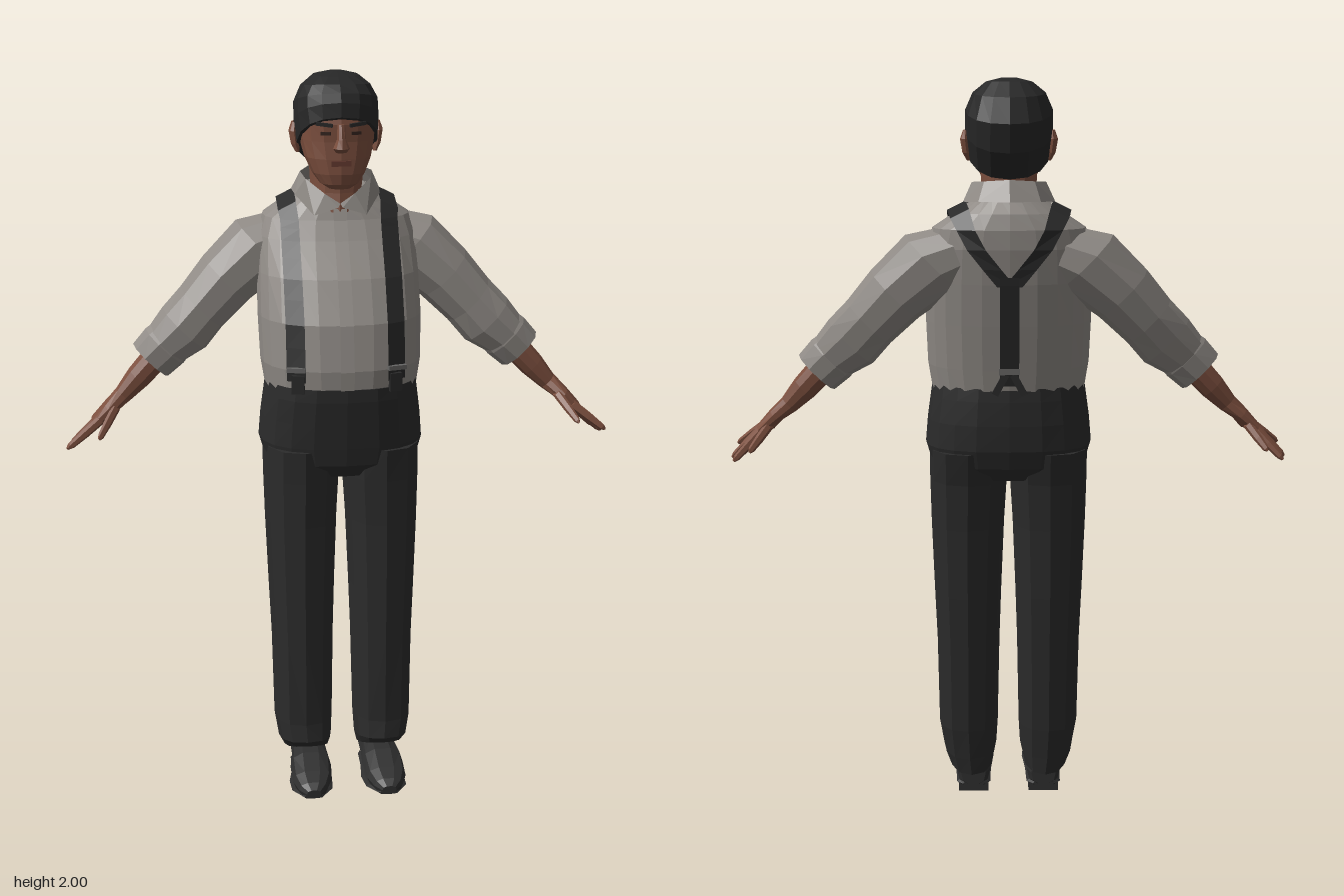
import * as THREE from 'three';

const mat = (name, color, side = THREE.FrontSide) => {
  const m = new THREE.MeshStandardMaterial({ color, side });
  m.name = name;
  return m;
};

// Faceted geometry from indexed points; solids are turned to face outward
function faceted(pos, idx, solid = true) {
  let volume = 0;
  const p = (i) => new THREE.Vector3().fromArray(pos, i * 3);
  for (let i = 0; i < idx.length; i += 3) volume += p(idx[i]).dot(p(idx[i + 1]).cross(p(idx[i + 2])));
  if (solid && volume < 0) idx.reverse();
  const g = new THREE.BufferGeometry();
  g.setAttribute('position', new THREE.Float32BufferAttribute(pos, 3));
  g.setIndex(idx);
  const flat = g.toNonIndexed();
  flat.computeVertexNormals();
  return flat;
}

// Capped loft through rings [x, y, z, radiusU, radiusV, tilt]
function loft(rings, { n = 14, p = 2.3, u = [1, 0, 0], v = [0, 0, 1] } = {}) {
  const pos = [], idx = [];
  const pw = (t) => Math.sign(t) * Math.abs(t) ** (2 / p);
  for (const [x, y, z, ru, rv, tilt = 0] of rings)
    for (let j = 0; j < n; j++) {
      const a = (j / n) * Math.PI * 2, c = pw(Math.cos(a)) * ru, s = pw(Math.sin(a));
      pos.push(x + u[0] * c + v[0] * s * rv, y + u[1] * c + v[1] * s * rv + tilt * s, z + u[2] * c + v[2] * s * rv);
    }
  const last = rings.length - 1;
  for (let i = 0; i < last; i++)
    for (let j = 0; j < n; j++) {
      const a = i * n + j, b = i * n + ((j + 1) % n);
      idx.push(a, b, b + n, a, b + n, a + n);
    }
  const c0 = pos.length / 3;
  pos.push(...rings[0].slice(0, 3), ...rings[last].slice(0, 3));
  for (let j = 0; j < n; j++) {
    const k = (j + 1) % n;
    idx.push(c0, k, j, c0 + 1, last * n + j, last * n + k);
  }
  return faceted(pos, idx);
}

// Horizontal body rings given as [y, halfWidth, zFront, zBack, tilt]
const body = (rows, opts) =>
  loft(rows.map(([y, rx, f, b, t]) => [0, y, (f + b) / 2, rx, (f - b) / 2, t]), opts);

// Open ribbon between two edges
function ribbon(a, b) {
  const pos = [...a, ...b].flat(), idx = [], n = a.length;
  for (let i = 0; i < n - 1; i++) idx.push(i, i + n, i + 1, i + 1, i + n, i + n + 1);
  return faceted(pos, idx, false);
}

function mirrored(g) {
  const m = g.clone(), p = m.attributes.position;
  for (let i = 0; i < p.count; i += 3) {
    const t = [0, 2, 1].map((k) => [-p.getX(i + k), p.getY(i + k), p.getZ(i + k)]);
    t.forEach((q, k) => p.setXYZ(i + k, ...q));
  }
  m.computeVertexNormals();
  return m;
}

const TORSO = [
  [1.185, 0.208, 0.152, -0.208], [1.25, 0.218, 0.155, -0.22], [1.37, 0.222, 0.132, -0.243],
  [1.48, 0.22, 0.075, -0.262], [1.57, 0.215, 0.01, -0.273], [1.62, 0.2, -0.02, -0.273],
  [1.66, 0.14, -0.035, -0.262], [1.7, 0.08, -0.05, -0.235],
];
const TORSO_P = 2.4;

// Point just above the shirt at x, y on the front (+1) or back (-1)
function onShirt(x, y, side, lift = 0.006) {
  let i = 0;
  while (i < TORSO.length - 2 && TORSO[i + 1][0] < y) i++;
  const A = TORSO[i], B = TORSO[i + 1], t = (y - A[0]) / (B[0] - A[0]);
  const [rx, f, b] = [1, 2, 3].map((k) => A[k] + (B[k] - A[k]) * t);
  const s = Math.max(0, 1 - Math.abs(x / rx) ** TORSO_P) ** (1 / TORSO_P);
  return [x, y, (f + b) / 2 + side * (((f - b) / 2) * s + lift)];
}

export function createModel() {
  const model = new THREE.Group();
  model.name = 'man';
  const skin = mat('skin', 0x7c4f3e), shirt = mat('shirt grey', 0x8f8a85, THREE.DoubleSide);
  const cloth = mat('trouser black', 0x2b2b2b), hair = mat('hair black', 0x272727);
  const strap = mat('strap black', 0x292929, THREE.DoubleSide), leather = mat('shoe black', 0x2f2f2f);
  const metal = mat('clip grey', 0x666564), lip = mat('lip brown', 0x653a30), dark = mat('eye dark', 0x33231e);

  const add = (name, geo, m) => {
    const mesh = new THREE.Mesh(geo, m);
    mesh.name = name;
    model.add(mesh);
  };
  const pair = (name, geo, m) => {
    add('left' + name, geo, m);
    add('right' + name, mirrored(geo), m);
  };
  const box = (w, h, d, x, y, z, ry = 0, rz = 0) =>
    new THREE.BoxGeometry(w, h, d).toNonIndexed().rotateZ(rz).rotateY(ry).translate(x, y, z);

  // Shirt body, placket and collar
  add('shirtBody', body(TORSO, { n: 24, p: TORSO_P }), shirt);
  const placketY = [1.2, 1.25, 1.37, 1.48, 1.57, 1.62, 1.65];
  add('placket', ribbon(placketY.map((y) => onShirt(-0.018, y, 1)), placketY.map((y) => onShirt(0.018, y, 1))), shirt);
  pair('Collar', ribbon(
    [[0, 1.665, -0.02], [0.04, 1.69, -0.03], [0.088, 1.725, -0.07], [0.097, 1.735, -0.13], [0.065, 1.74, -0.2], [0, 1.745, -0.225]],
    [[0.006, 1.655, -0.014], [0.07, 1.635, -0.016], [0.115, 1.68, -0.09], [0.12, 1.685, -0.15], [0.08, 1.69, -0.23], [0, 1.69, -0.258]],
  ), shirt);

  // Sleeves, rolled cuffs, forearms and hands
  const limb = { n: 10, p: 2.1, u: [0.707, 0.707, 0], v: [0, 0, 1] };
  pair('Sleeve', loft([
    [0.12, 1.56, -0.165, 0.085, 0.085], [0.2, 1.53, -0.16, 0.1, 0.1], [0.3, 1.445, -0.145, 0.088, 0.095],
    [0.37, 1.37, -0.13, 0.08, 0.085], [0.42, 1.315, -0.115, 0.082, 0.075], [0.49, 1.255, -0.1, 0.062, 0.055],
  ], limb), shirt);
  pair('Cuff', loft([
    [0.46, 1.282, -0.105, 0.068, 0.058], [0.475, 1.268, -0.103, 0.071, 0.06], [0.514, 1.23, -0.1, 0.066, 0.052],
  ], limb), shirt);
  pair('Forearm', loft([
    [0.47, 1.27, -0.1, 0.04, 0.042], [0.55, 1.185, -0.09, 0.035, 0.035], [0.592, 1.14, -0.083, 0.026, 0.027],
    [0.63, 1.108, -0.068, 0.021, 0.044], [0.672, 1.07, -0.065, 0.014, 0.044],
  ], limb), skin);
  const fingers = {
    Thumb: [0.612, 1.115, -0.045, 0.66, 1.05, 0.038], IndexFinger: [0.655, 1.083, -0.032, 0.745, 1.015, 0],
    MiddleFinger: [0.662, 1.077, -0.056, 0.752, 0.99, -0.07], RingFinger: [0.66, 1.075, -0.078, 0.742, 0.99, -0.116],
    LittleFinger: [0.645, 1.085, -0.097, 0.695, 1.02, -0.145],
  };
  for (const [name, f] of Object.entries(fingers)) {
    const at = (t, r) => [0, 1, 2].map((k) => f[k] + (f[k + 3] - f[k]) * t).concat(r, r);
    pair(name, loft([at(0, 0.013), at(0.5, 0.012), at(0.9, 0.009), at(1, 0.004)], { ...limb, n: 6 }), skin);
  }

  // Trousers: seat and two legs
  add('trouserSeat', body([
    [1.2, 0.206, 0.156, -0.21], [1.165, 0.211, 0.156, -0.212], [1.1, 0.22, 0.148, -0.212], [1.03, 0.226, 0.14, -0.206],
    [0.98, 0.212, 0.132, -0.19], [0.94, 0.17, 0.1, -0.15],
  ], { n: 20, p: 2.5 }), cloth);
  pair('TrouserLeg', loft([
    [1.02, 0.004, 0.216, 0.134, -0.198], [0.93, 0.004, 0.216, 0.13, -0.172], [0.8, 0.012, 0.213, 0.127, -0.155],
    [0.6, 0.02, 0.206, 0.125, -0.133], [0.45, 0.025, 0.2, 0.125, -0.115], [0.2, 0.03, 0.196, 0.125, -0.085],
    [0.13, 0.034, 0.185, 0.132, -0.07, 0.02], [0.095, 0.042, 0.168, 0.118, -0.062, 0.035],
  ].map(([y, a, b, f, k, t]) => [(a + b) / 2, y, (f + k) / 2, (b - a) / 2, (f - k) / 2, t]), { n: 12, p: 2.4 }), cloth);

  // Shoes with soles and heels
  const along = { n: 10, p: 2.5, u: [1, 0, 0], v: [0, 1, 0] };
  pair('Shoe', loft([
    [0.1, 0.06, -0.048, 0.035, 0.035], [0.1, 0.065, -0.025, 0.048, 0.05], [0.1, 0.078, 0.06, 0.05, 0.055],
    [0.103, 0.08, 0.14, 0.058, 0.045], [0.105, 0.073, 0.21, 0.055, 0.031], [0.106, 0.068, 0.25, 0.04, 0.022],
    [0.106, 0.064, 0.27, 0.02, 0.012],
  ], along), leather);
  pair('Sole', loft([
    [0.1, 0.024, -0.04, 0.03, 0.008], [0.1, 0.024, -0.02, 0.048, 0.009], [0.1, 0.028, 0.06, 0.05, 0.009],
    [0.103, 0.036, 0.14, 0.061, 0.009], [0.105, 0.045, 0.21, 0.057, 0.008], [0.106, 0.054, 0.265, 0.027, 0.006],
  ], along), leather);
  pair('Heel', box(0.085, 0.024, 0.07, 0.1, 0.012, 0.003), leather);

  // Braces: front, over the shoulder, then meeting in a Y on the back
  const edge = (s) => {
    const w = 0.024 * s;
    const front = [1.22, 1.25, 1.31, 1.37, 1.43, 1.48, 1.53, 1.57, 1.6, 1.62].map((y) => onShirt(0.134 + w, y, 1));
    const top = [[0.138, 1.652, -0.07], [0.138, 1.676, -0.15], [0.128, 1.66, -0.23]].map(([x, y, z]) => [x + w, y - w * 0.5, z]);
    const back = [[0.112, 1.62], [0.085, 1.57], [0.045, 1.52], [0.008, 1.475]].map(([x, y]) => onShirt(x + w, y, -1));
    return [...front, ...top, ...back];
  };
  pair('Brace', ribbon(edge(-1), edge(1)), strap);
  const backY = [1.5, 1.48, 1.43, 1.37, 1.31, 1.25, 1.21];
  add('backBrace', ribbon(backY.map((y) => onShirt(-0.025, y, -1, 0.008)), backY.map((y) => onShirt(0.025, y, -1, 0.008))), strap);
  const fz = onShirt(0.134, 1.24, 1)[2], bz = onShirt(0, 1.23, -1)[2];
  pair('FrontClip', box(0.05, 0.012, 0.012, 0.134, 1.255, fz + 0.004, 0.25), metal);
  pair('FrontTab', box(0.034, 0.05, 0.012, 0.13, 1.215, fz + 0.003, 0.25), strap);
  add('backClip', box(0.055, 0.016, 0.01, 0, 1.25, bz - 0.003), metal);
  pair('BackTab', box(0.018, 0.06, 0.01, 0.024, 1.215, bz, 0, 0.5), strap);

  // Neck and head
  add('neck', body([[1.64, 0.06, -0.022, -0.2], [1.69, 0.07, -0.032, -0.205], [1.79, 0.075, -0.04, -0.205]], { n: 12 }), skin);
  add('head', body([
    [1.705, 0.03, -0.008, -0.07], [1.718, 0.052, 0.002, -0.1], [1.745, 0.072, 0.007, -0.14], [1.785, 0.09, 0.006, -0.175],
    [1.83, 0.101, 0.003, -0.225], [1.875, 0.105, 0.005, -0.25], [1.93, 0.1, -0.006, -0.25], [1.975, 0.06, -0.06, -0.2],
  ], { n: 16 }), skin);
  add('hair', body([
    [1.82, 0.108, 0.01, -0.205, 0.075], [1.872, 0.114, 0.006, -0.25, 0.06], [1.92, 0.113, -0.004, -0.267, 0.035],
    [1.963, 0.094, -0.028, -0.247, 0.012], [1.99, 0.06, -0.068, -0.2], [2, 0.02, -0.11, -0.15],
  ], { n: 16 }), hair);
  pair('Ear', loft([
    [0.104, 1.79, -0.118, 0.006, 0.012], [0.11, 1.81, -0.125, 0.011, 0.022],
    [0.114, 1.845, -0.13, 0.013, 0.028], [0.112, 1.868, -0.132, 0.007, 0.018],
  ], { n: 8 }), skin);

  // Face details
  add('nose', loft([
    [0, 1.803, 0.004, 0.014, 0.008], [0, 1.815, 0.01, 0.022, 0.023], [0, 1.838, 0.008, 0.012, 0.019], [0, 1.876, 0.002, 0.01, 0.01],
  ], { n: 8, p: 2 }), skin);
  pair('Eyebrow', box(0.044, 0.009, 0.009, 0.044, 1.876, 0.001, 0.2, 0.12), hair);
  pair('Eye', box(0.026, 0.008, 0.008, 0.04, 1.853, -0.001, 0.2), dark);
  add('mouth', box(0.052, 0.014, 0.009, 0, 1.775, 0.006), lip);
  return model;
}
